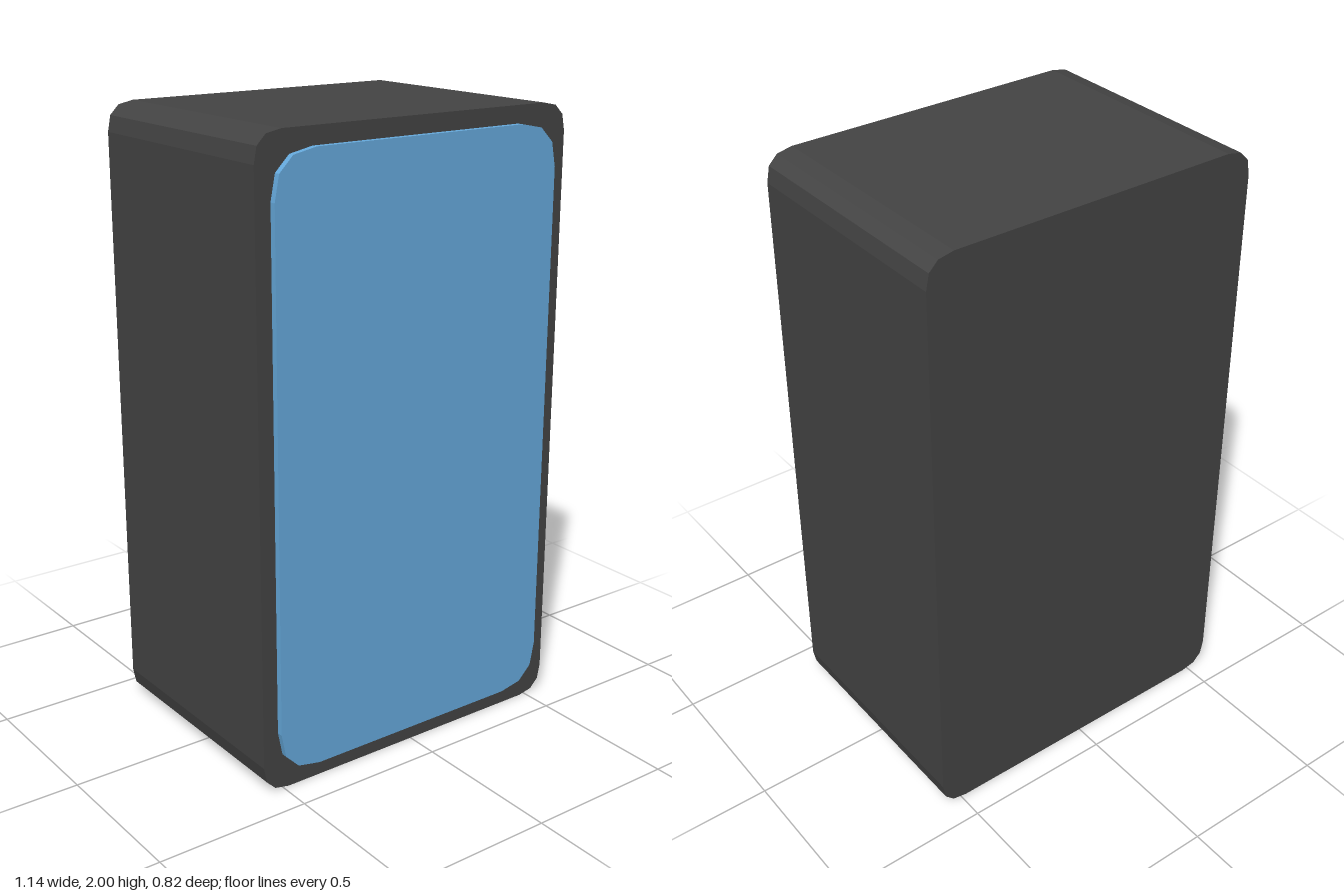
import * as THREE from 'three';

// Upright slab with softly cut corners, extruded along z
function roundedSlab(name, width, height, radius, zBack, zFront, color) {
  const x = width / 2, y = height / 2, r = radius;
  const shape = new THREE.Shape();
  shape.moveTo(-x + r, -y);
  shape.lineTo(x - r, -y);
  shape.quadraticCurveTo(x, -y, x, -y + r);
  shape.lineTo(x, y - r);
  shape.quadraticCurveTo(x, y, x - r, y);
  shape.lineTo(-x + r, y);
  shape.quadraticCurveTo(-x, y, -x, y - r);
  shape.lineTo(-x, -y + r);
  shape.quadraticCurveTo(-x, -y, -x + r, -y);
  const geometry = new THREE.ExtrudeGeometry(shape, {
    depth: zFront - zBack, bevelEnabled: false, curveSegments: 3,
  });
  const mesh = new THREE.Mesh(geometry, new THREE.MeshStandardMaterial({ color, flatShading: true }));
  mesh.position.set(0, 1, zBack);
  mesh.name = name;
  return mesh;
}

export function createModel() {
  const model = new THREE.Group();
  model.name = 'panelledBox';
  // Dark casing
  model.add(roundedSlab('casing', 1.14, 2, 0.09, -0.41, 0.39, 0x444444));
  // Thin raised blue panel on the front
  model.add(roundedSlab('frontPanel', 1.036, 1.89, 0.14, 0.39, 0.41, 0x66aadd));
  return model;
}
